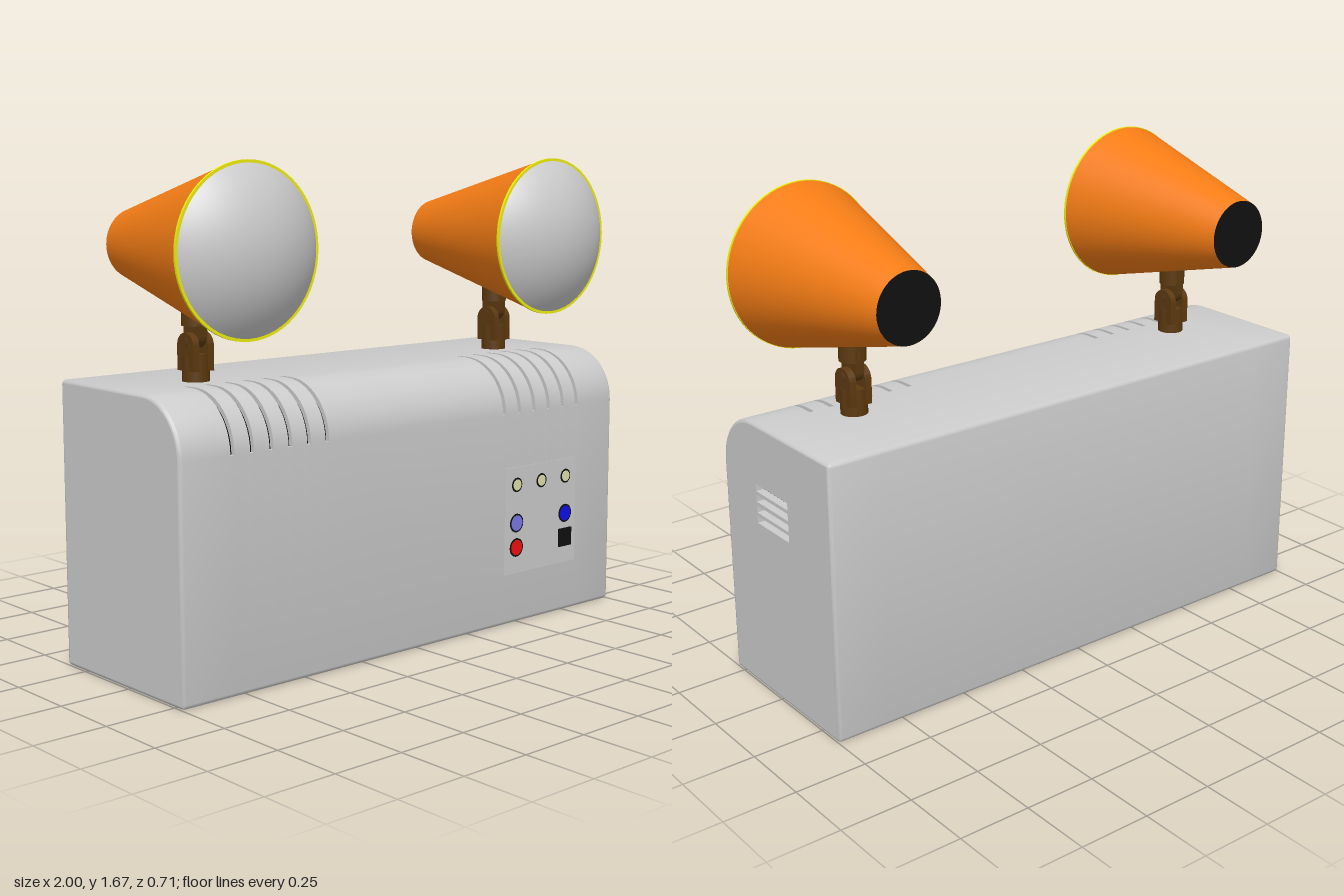
import * as THREE from 'three';
import { toCreasedNormals } from 'three/addons/utils/BufferGeometryUtils.js';

const mat = (color, side = THREE.FrontSide) => new THREE.MeshStandardMaterial({ color, side });
const GREY = mat(0xcccccc), BLACK = mat(0x101010), ORANGE = mat(0xf47c15, THREE.DoubleSide);
const BROWN = mat(0x5c3a10), YELLOW = mat(0xf0f010);

function add(parent, name, geometry, material, x = 0, y = 0, z = 0) {
  const mesh = new THREE.Mesh(geometry, material);
  mesh.name = name;
  mesh.position.set(x, y, z);
  parent.add(mesh);
  return mesh;
}

// Housing dimensions
const BACK = -0.355, FRONT = 0.295, TOP = 0.96, R = 0.19, EDGE = 0.015, BEVEL = 0.012;
const GROOVE = 0.018, GROOVE_W = 0.016, GROOVE_END = 0.06;
const SLOTS = [0.415, 0.492, 0.569, 0.646, 0.723, 0.8];

// Side outline of the housing as (-z, y), inset by d, with the slot run sunk by g
function outline(d = 0, g = 0) {
  const pts = [];
  const arc = (u, y, r, start, steps) => {
    for (let i = 0; i <= steps; i++) {
      const a = start + (i / steps) * Math.PI / 2;
      pts.push(new THREE.Vector2(u + r * Math.cos(a), y + r * Math.sin(a)));
    }
  };
  const e = EDGE - d, H = Math.PI / 2;
  arc(-FRONT + EDGE, EDGE, e, 2 * H, 3);
  arc(-BACK - EDGE, EDGE, e, 3 * H, 3);
  arc(-BACK - EDGE, TOP - EDGE, e, 0, 3);
  pts.push(new THREE.Vector2(-GROOVE_END, TOP - d), new THREE.Vector2(-GROOVE_END, TOP - d - g));
  arc(-FRONT + R, TOP - R, R - d - g, H, 12);
  pts.push(new THREE.Vector2(-FRONT + d, TOP - R));
  return pts;
}

// Skin lofted along x: rounded ends plus a sunken ring pair at every slot
function housingSkin() {
  const rings = [];
  const end = (s) => [0, 1, 2, 3].map((k) => {
    const a = (k / 3) * Math.PI / 2;
    return [s * (1 - BEVEL * (1 - Math.cos(a))), BEVEL * (1 - Math.sin(a)), 0];
  });
  rings.push(...end(-1));
  for (const x of [...SLOTS.map((v) => -v), ...SLOTS].sort((a, b) => a - b)) {
    const a = x - GROOVE_W / 2, b = x + GROOVE_W / 2;
    rings.push([a, 0, 0], [a, 0, GROOVE], [b, 0, GROOVE], [b, 0, 0]);
  }
  rings.push(...end(1).reverse());

  const pos = [], idx = [], n = outline().length;
  rings.forEach(([x, d, g], i) => {
    outline(d, g).forEach((p, j) => {
      pos.push(p.x, p.y, x);
      if (i === rings.length - 1) return;
      const a = i * n + j, b = i * n + (j + 1) % n;
      idx.push(a, b, b + n, a, b + n, a + n);
    });
  });
  const geo = new THREE.BufferGeometry();
  geo.setAttribute('position', new THREE.Float32BufferAttribute(pos, 3));
  geo.setIndex(idx);
  return toCreasedNormals(geo.rotateY(Math.PI / 2), 0.6);
}

// Flat end plate, optionally pierced by the side vents
function endPlate(depth, ventHeights) {
  const shape = new THREE.Shape(outline(BEVEL));
  for (const y of ventHeights) {
    const h = 0.0125;
    shape.holes.push(new THREE.Path([
      new THREE.Vector2(-0.095, y - h), new THREE.Vector2(-0.095, y + h),
      new THREE.Vector2(0.1, y + h), new THREE.Vector2(0.1, y - h)]));
  }
  return new THREE.ExtrudeGeometry(shape, { depth, bevelEnabled: false }).rotateY(Math.PI / 2);
}

function housing() {
  const g = new THREE.Group();
  g.name = 'housing';
  add(g, 'housingSkin', housingSkin(), GREY);
  add(g, 'rightEnd', endPlate(0.02, []), GREY, -1);
  add(g, 'ventedEnd', endPlate(0.03, [0.623, 0.66, 0.698, 0.735]), GREY, 0.97);
  add(g, 'ventInterior', new THREE.BoxGeometry(0.02, 0.18, 0.24), BLACK, 0.962, 0.68, 0);

  // Dark floors of the top slots
  const r = R - GROOVE + 0.002, flat = FRONT - R - GROOVE_END;
  const curve = new THREE.CylinderGeometry(r, r, GROOVE_W, 12, 1, true, 0, Math.PI / 2).rotateZ(Math.PI / 2);
  const strip = new THREE.BoxGeometry(GROOVE_W, 0.004, flat);
  for (const s of [-1, 1]) for (const x of SLOTS) {
    add(g, 'slotFloor', curve, BLACK, s * x, TOP - R, FRONT - R);
    add(g, 'slotFloorTop', strip, BLACK, s * x, TOP - GROOVE, GROOVE_END + flat / 2);
  }
  return g;
}

function controlPanel() {
  const g = new THREE.Group();
  g.name = 'controlPanel';
  g.position.z = FRONT;
  add(g, 'panelPlate', new THREE.BoxGeometry(0.38, 0.39, 0.004), GREY, 0.61, 0.38, 0);
  const disc = (rad, depth) => new THREE.CylinderGeometry(rad, rad, depth, 32).rotateX(Math.PI / 2);
  const lights = [
    [0.482, 0.51, 0.02, 0xe0e0a8], [0.612, 0.51, 0.02, 0xe0e0a8], [0.743, 0.51, 0.02, 0xe0e0a8],
    [0.482, 0.37, 0.028, 0x7c78e8], [0.743, 0.37, 0.028, 0x1010e8], [0.482, 0.28, 0.028, 0xf01010]];
  for (const [x, y, rad, color] of lights) {
    add(g, 'lightRim', disc(rad + 0.006, 0.008), BLACK, x, y);
    add(g, 'indicatorLight', disc(rad, 0.011), mat(color), x, y);
  }
  add(g, 'switch', new THREE.BoxGeometry(0.068, 0.068, 0.014), BLACK, 0.743, 0.28);
  return g;
}

// Lug in the y-z plane with one rounded end, centred on the pivot
function lug(width, length, up) {
  const s = new THREE.Shape(), r = 0.044;
  s.moveTo(-r, -length);
  s.lineTo(r, -length);
  s.lineTo(r, 0);
  s.absarc(0, 0, r, 0, Math.PI, false);
  const geo = new THREE.ExtrudeGeometry(s, { depth: width, bevelEnabled: false, curveSegments: 20 });
  geo.translate(0, 0, -width / 2).rotateY(Math.PI / 2);
  return toCreasedNormals(up ? geo : geo.rotateX(Math.PI), 0.5);
}

function lamp(x) {
  const g = new THREE.Group();
  g.name = 'lamp';
  g.position.x = x;

  // Swivel post: base, fork, tongue and pin
  const pz = -0.03;
  add(g, 'postBase', new THREE.CylinderGeometry(0.045, 0.045, 0.1, 32), BROWN, 0, 1.0, pz);
  for (const s of [-1, 1]) add(g, 'forkCheek', lug(0.024, 0.08, true), BROWN, s * 0.029, 1.075, pz);
  add(g, 'tongue', lug(0.03, 0.1, false), BROWN, 0, 1.112, pz);
  add(g, 'pivotPin', new THREE.CylinderGeometry(0.014, 0.014, 0.088, 16).rotateZ(Math.PI / 2), BROWN, 0, 1.09, pz);
  add(g, 'postTop', new THREE.CylinderGeometry(0.045, 0.045, 0.12, 32), BROWN, 0, 1.2, pz);

  // Lamp head: cone shade, back cap, rim and domed lens
  const head = new THREE.Group();
  head.name = 'lampHead';
  head.position.y = 1.39;
  g.add(head);
  const zf = 0.25, zb = -0.355, lensR = 0.274, sag = 0.105;
  add(head, 'shade', new THREE.CylinderGeometry(0.279, 0.118, zf - zb, 64, 1, true).rotateX(Math.PI / 2), ORANGE, 0, 0, (zf + zb) / 2);
  add(head, 'backCap', new THREE.CircleGeometry(0.118, 48).rotateY(Math.PI), BLACK, 0, 0, zb);
  add(head, 'rim', new THREE.CylinderGeometry(0.28, 0.28, 0.008, 64).rotateX(Math.PI / 2), YELLOW, 0, 0, zf);
  const ballR = (lensR * lensR + sag * sag) / (2 * sag);
  const dome = new THREE.SphereGeometry(ballR, 64, 16, 0, Math.PI * 2, 0, Math.asin(lensR / ballR));
  add(head, 'lens', dome.rotateX(Math.PI / 2), GREY, 0, 0, zf + sag - ballR + 0.001);
  return g;
}

export function createModel() {
  const model = new THREE.Group();
  model.name = 'emergencyLight';
  model.add(housing(), controlPanel(), lamp(-0.695), lamp(0.695));
  return model;
}
